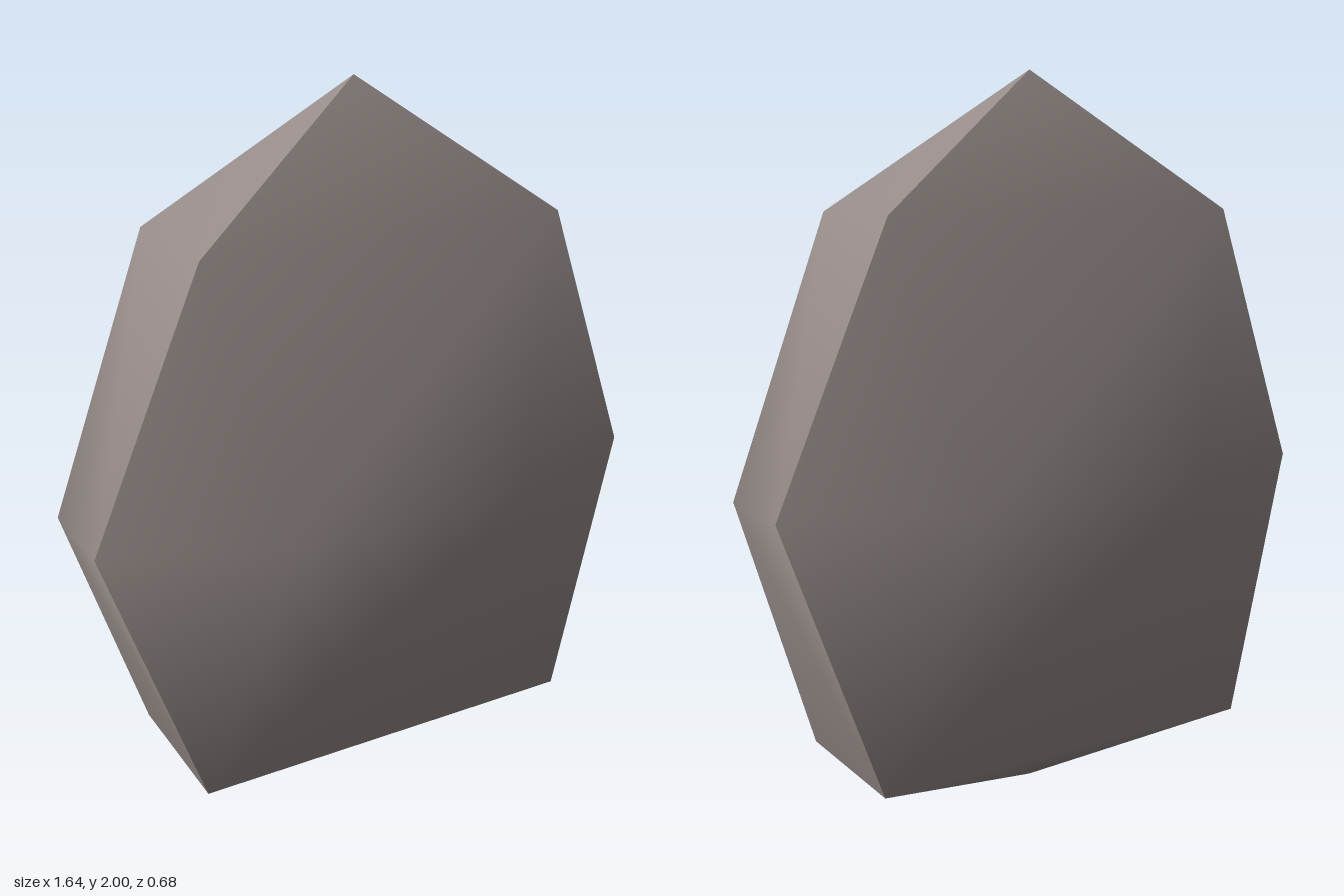
import * as THREE from 'three';

const stone = new THREE.MeshStandardMaterial({ color: 0x958b88 });
stone.name = 'warm grey stone';

// Corner points, from the tip down to the base
const tip = [0, 2, 0];
const base = [0, 0, 0];
const shoulder = [0.522, 1.63, 0.188];
const waistRim = [0.818, 0.892, 0.142];
const waistFace = [0.34, 0.892, 0.342];
const foot = [0.575, 0.152, 0.218];

const flip = ([x, y, z], sx, sz) => [x * sx, y, z * sz];

function makeMesh(name, points, faces) {
  const geometry = new THREE.BufferGeometry();
  geometry.setAttribute('position', new THREE.Float32BufferAttribute(points.flat(), 3));
  geometry.setIndex(faces.flat());
  geometry.computeVertexNormals();
  const mesh = new THREE.Mesh(geometry, stone);
  mesh.name = name;
  return mesh;
}

// Broad front and back faces, joined smoothly under the base
function makeFaces() {
  const front = [
    tip, shoulder, flip(shoulder, -1, 1),
    waistRim, waistFace, flip(waistFace, -1, 1), flip(waistRim, -1, 1),
    foot, flip(foot, -1, 1), base,
  ];
  const back = front.slice(0, 9).map((p) => flip(p, -1, -1));
  const faces = [
    [0, 2, 1], [1, 2, 5], [1, 5, 4], [1, 4, 3], [2, 6, 5],
    [3, 4, 7], [4, 5, 8], [4, 8, 7], [5, 6, 8], [7, 8, 9],
  ];
  const backFaces = faces.map((f) => f.map((i) => (i === 9 ? 9 : i + 10)));
  // Undersides at left and right
  const under = [[7, 9, 18], [17, 9, 8]];
  return makeMesh('broadFaces', [...front, ...back], [...faces, ...backFaces, ...under]);
}

// Narrow band running down one edge, from the tip to the foot
function makeEdge(name, side) {
  const points = [tip];
  for (const p of [shoulder, waistRim, foot]) {
    points.push(flip(p, side, side), flip(p, side, -side));
  }
  const faces = [[0, 1, 2]];
  for (const i of [1, 3]) faces.push([i, i + 2, i + 3], [i, i + 3, i + 1]);
  return makeMesh(name, points, faces);
}

export function createModel() {
  const model = new THREE.Group();
  model.name = 'facetedStone';
  model.add(makeFaces(), makeEdge('leftEdge', 1), makeEdge('rightEdge', -1));
  return model;
}
